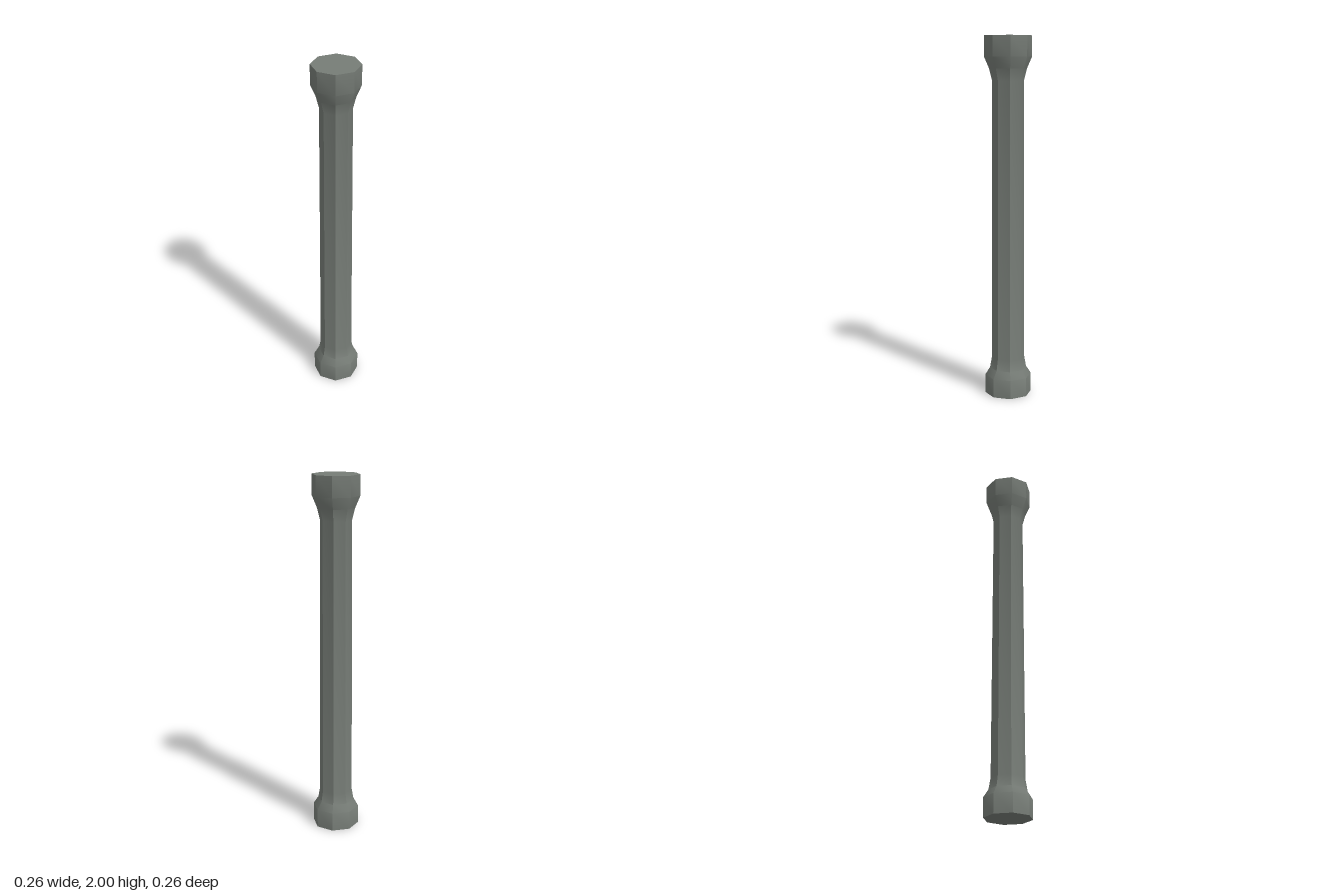
import * as THREE from 'three';
import { toCreasedNormals } from 'three/addons/utils/BufferGeometryUtils.js';

export function createModel() {
  const group = new THREE.Group();
  group.name = 'column';
  const stone = new THREE.MeshStandardMaterial({ color: 0x767c76 });
  stone.name = 'grey stone';

  // Eight-sided profile: base, flare, tapered shaft, flare, capital
  const profile = [
    [0, 0], [0.13, 0], [0.13, 0.106], [0.103, 0.148], [0.092, 0.21],
    [0.0865, 1.76], [0.103, 1.825], [0.13, 1.888], [0.13, 2], [0, 2],
  ].map(([r, y]) => new THREE.Vector2(r, y));

  // Shaft edges stay sharp while the flares shade smoothly
  const geometry = toCreasedNormals(new THREE.LatheGeometry(profile, 8), 0.76);
  const pillar = new THREE.Mesh(geometry, stone);
  pillar.name = 'pillar';
  group.add(pillar);
  return group;
}
